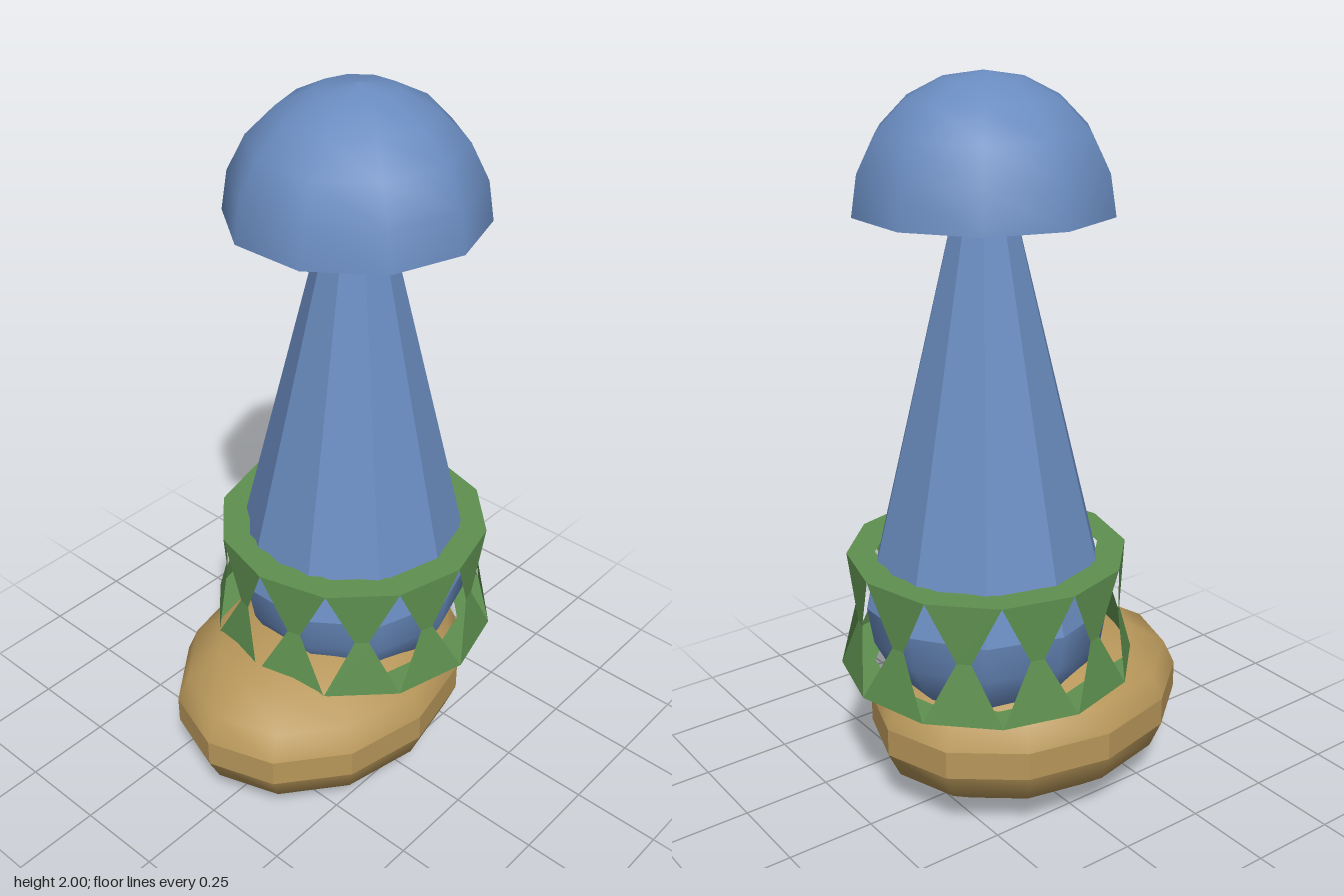
import * as THREE from 'three';

const mat = (color, flatShading = false) =>
  new THREE.MeshStandardMaterial({ color, flatShading, side: THREE.DoubleSide });

function add(parent, name, geometry, material, y = 0) {
  const mesh = new THREE.Mesh(geometry, material);
  mesh.name = name;
  mesh.position.y = y;
  parent.add(mesh);
  return mesh;
}

// Quarter-circle profile turned into a dome; a negative height gives a bowl
function dome(radius, height, sides, rings) {
  const pts = [];
  for (let i = 0; i <= rings; i++) {
    const a = (i / rings) * Math.PI / 2;
    pts.push(new THREE.Vector2(radius * Math.cos(a), height * Math.sin(a)));
  }
  if (height < 0) pts.reverse();
  return new THREE.LatheGeometry(pts, sides);
}

// Twelve-sided collar: flat rims joined by panels that narrow at mid height
function collarGeometry() {
  const n = 12, yTop = 0.735, yMid = 0.57, yLow = 0.405;
  const pos = [];
  const at = (i, r, y) => {
    const a = (i / n) * Math.PI * 2;
    return new THREE.Vector3(r * Math.sin(a), y, r * Math.cos(a));
  };
  const quad = (a, b, c, d) => {
    for (const v of [a, b, c, a, c, d]) pos.push(v.x, v.y, v.z);
  };
  for (let i = 0; i < n; i++) {
    const j = i + 1;
    const t0 = at(i, 0.382, yTop), t1 = at(j, 0.382, yTop);
    const b0 = at(i, 0.407, yLow), b1 = at(j, 0.407, yLow);
    const m0 = at(i + 0.4, 0.365, yMid), m1 = at(i + 0.6, 0.365, yMid);
    quad(t0, t1, at(j, 0.305, yTop), at(i, 0.305, yTop));
    quad(b1, b0, at(i, 0.315, yLow), at(j, 0.315, yLow));
    quad(m0, m1, t1, t0);
    quad(b0, b1, m1, m0);
  }
  const g = new THREE.BufferGeometry();
  g.setAttribute('position', new THREE.Float32BufferAttribute(pos, 3));
  g.computeVertexNormals();
  return g;
}

export function createModel() {
  const model = new THREE.Group();
  const blue = 0x6a8cc0, tan = 0xb8975a, green = 0x5f9150;

  // Oval foot: two shallow domes with a straight band between them
  const foot = new THREE.Group();
  foot.name = 'foot';
  foot.position.z = 0.035;
  foot.scale.set(0.375, 1, 0.47);
  add(foot, 'footTop', dome(1, 0.19, 12, 4), mat(tan), 0.28);
  add(foot, 'footBand', new THREE.CylinderGeometry(1, 1, 0.08, 12, 1, true), mat(tan, true), 0.24);
  add(foot, 'footBottom', dome(1, -0.195, 12, 4), mat(tan), 0.2);
  model.add(foot);

  // Upright parts share an axis slightly behind the centre
  const upright = new THREE.Group();
  upright.name = 'upright';
  upright.position.z = -0.1;
  model.add(upright);

  add(upright, 'collar', collarGeometry(), mat(green, true));

  // Ten-sided parts, with corners pointing to the sides
  const turned = new THREE.Group();
  turned.name = 'stemAndCap';
  turned.rotation.y = Math.PI / 2;
  upright.add(turned);
  add(turned, 'stemBulb', dome(0.34, -0.34, 10, 5), mat(blue), 0.6);
  add(turned, 'stem', new THREE.ConeGeometry(0.34, 1.39, 10, 1, true), mat(blue, true), 1.295);
  add(turned, 'cap', dome(0.34, 0.34, 10, 5), mat(blue), 1.66);

  return model;
}
